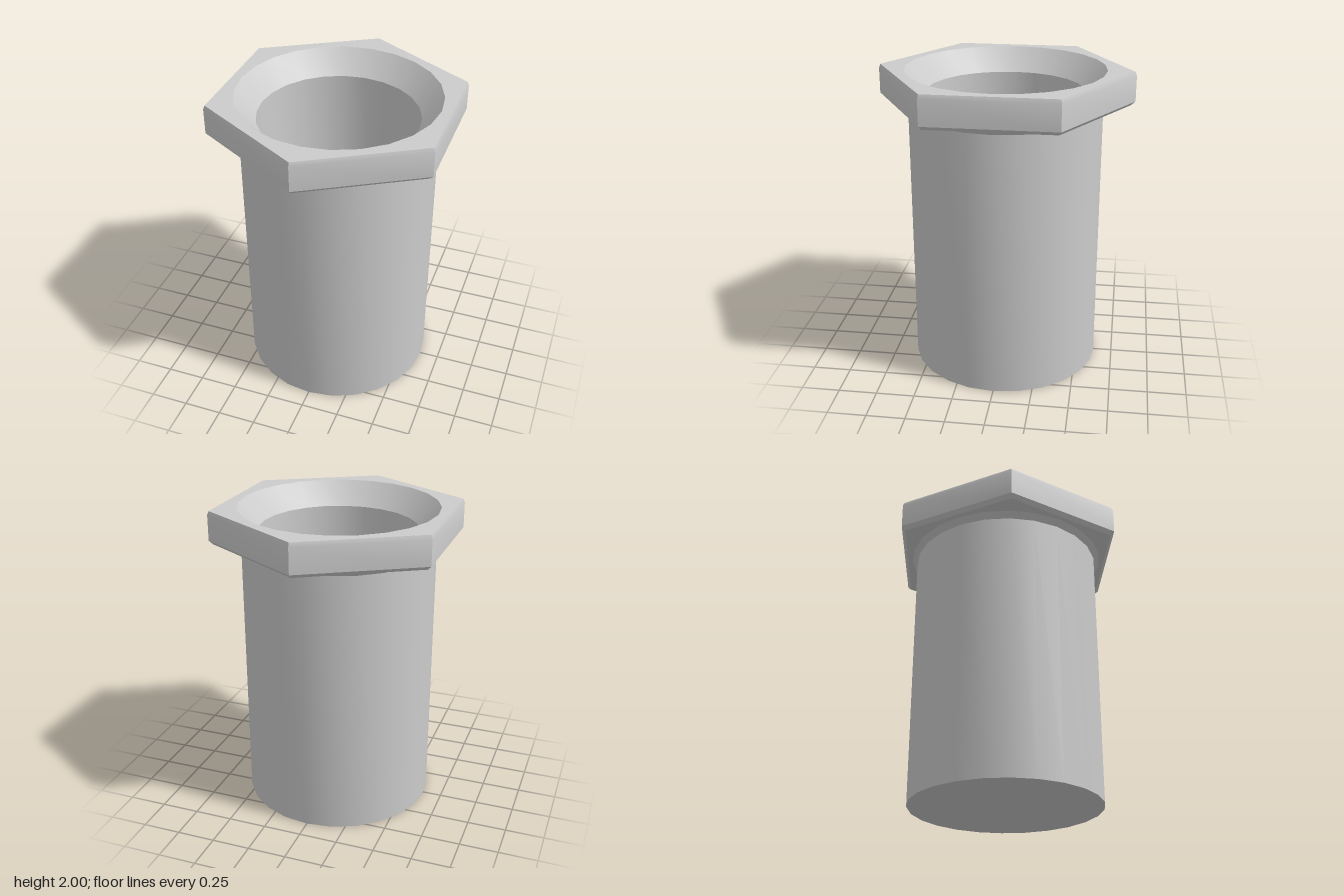
import * as THREE from 'three';
import { toCreasedNormals } from 'three/addons/utils/BufferGeometryUtils.js';

const material = new THREE.MeshStandardMaterial({ color: 0xcccccc });

// Revolve [radius, height] points, keeping hard edges
function turned(name, points, segments) {
  const profile = points.map(([r, y]) => new THREE.Vector2(r, y));
  const geometry = toCreasedNormals(new THREE.LatheGeometry(profile, segments), Math.PI / 6);
  const mesh = new THREE.Mesh(geometry, material);
  mesh.name = name;
  return mesh;
}

export function createModel() {
  const model = new THREE.Group();
  model.name = 'hexHeadSleeve';
  const sides = 24;
  const mouth = 0.645;   // countersink radius at the top
  const topCorner = 0.815; // corner radius of the top face

  // Closed sleeve with a flared collar under the head
  model.add(turned('sleeve', [[0, 0], [0.625, 0], [0.625, 1.75], [0.66, 1.785]], sides));

  // Countersunk, slightly tapered blind bore
  model.add(turned('bore', [[mouth, 2], [0.515, 1.85], [0.485, 0.1], [0, 0.1]], sides));

  // Six-sided head: underside, lower chamfer, flats and upper bevel
  const head = new THREE.Group();
  head.name = 'hexHead';
  head.add(turned('headSides', [
    [0.62, 1.785], [0.797, 1.785], [0.825, 1.81], [0.825, 1.975], [topCorner, 2],
  ], 6));

  // Flat top face with the round mouth cut out
  const hexagon = new THREE.Shape();
  for (let i = 0; i < 6; i++) {
    const a = Math.PI / 2 + (i * Math.PI) / 3;
    const x = topCorner * Math.cos(a), y = topCorner * Math.sin(a);
    if (i === 0) hexagon.moveTo(x, y);
    else hexagon.lineTo(x, y);
  }
  hexagon.closePath();
  hexagon.holes.push(new THREE.Path().absarc(0, 0, mouth, 0, Math.PI * 2, true));
  const topGeometry = new THREE.ShapeGeometry(hexagon, sides / 2);
  topGeometry.rotateX(-Math.PI / 2).translate(0, 2, 0);
  const top = new THREE.Mesh(topGeometry, material);
  top.name = 'headTop';
  head.add(top);
  model.add(head);

  return model;
}
